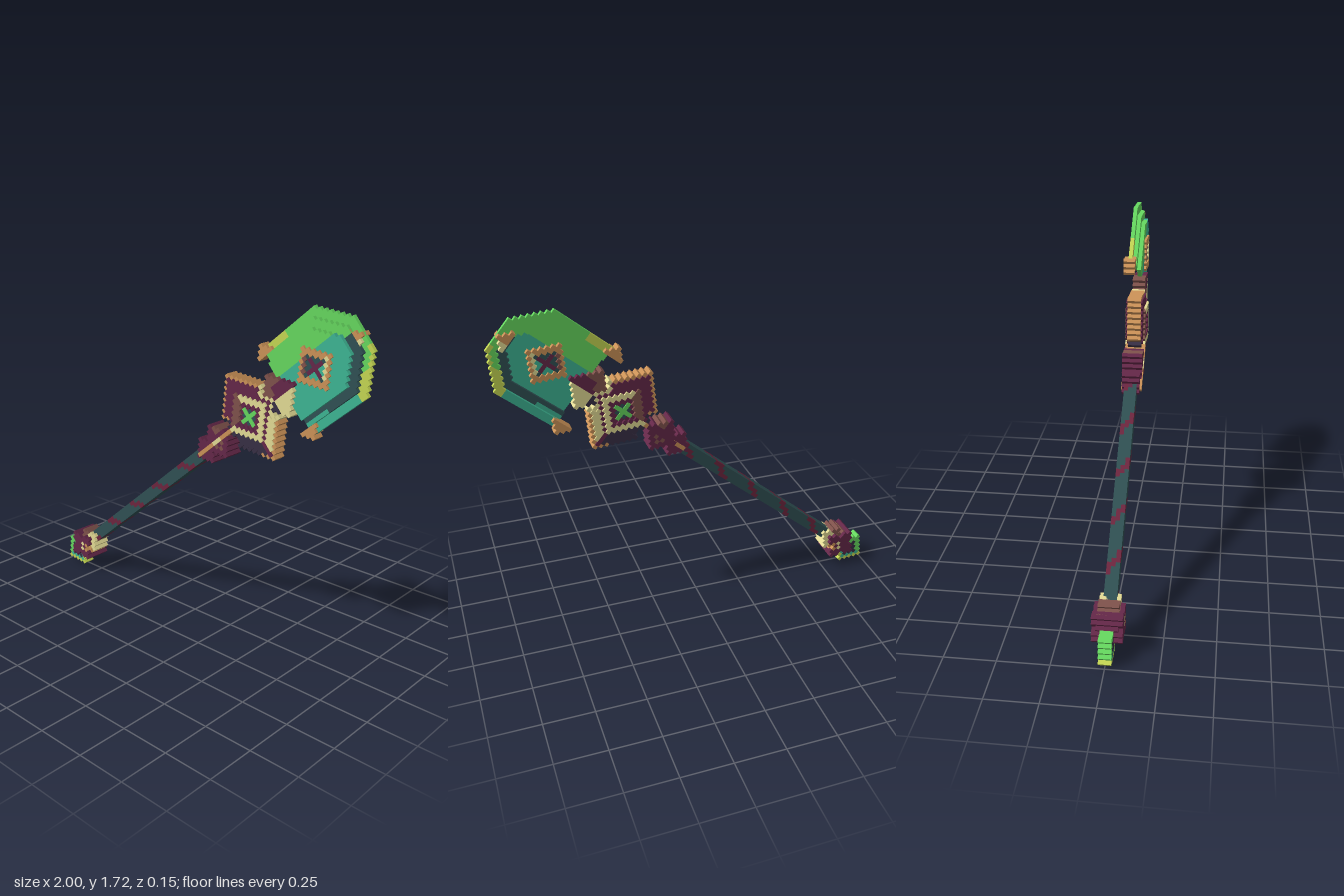
import * as THREE from 'three';
import { mergeGeometries } from 'three/addons/utils/BufferGeometryUtils.js';

const COLORS = {
  green: 0x66d95f, yellowGreen: 0xc5d853, teal: 0x3eb694, slate: 0x305154, maroon: 0x652849,
  navy: 0x382f45, tan: 0xcd9358, cream: 0xe4dc95, umber: 0x80524c, crimson: 0x6e263f,
};
const CELL = 0.0205; // block edge length

export function createModel() {
  const mats = {};
  for (const [name, color] of Object.entries(COLORS)) {
    mats[name] = new THREE.MeshStandardMaterial({ color });
    mats[name].name = name;
  }

  // u runs along the shaft, v across it, both in blocks; the crest is at the origin
  const staff = new THREE.Group();
  staff.name = 'staff';
  staff.rotation.z = THREE.MathUtils.degToRad(39.9);
  staff.position.set(0.382, 1.169, 0);

  // Fills an area with blocks. rule(u, v) gives [colour, zBack, zFront] or null; equal neighbours join
  function blocks(name, [u0, u1], [v0, v1], rule) {
    const part = new THREE.Group();
    part.name = name;
    const found = {};
    for (let v = v0; v <= v1; v++) {
      let start = u0;
      let run = rule(u0, v);
      for (let u = u0 + 1; u <= u1 + 1; u++) {
        const next = u <= u1 ? rule(u, v) : null;
        if (String(next) === String(run)) continue;
        if (run) {
          const [color, zb, zf] = run;
          const g = new THREE.BoxGeometry((u - start) * CELL, CELL, zf - zb);
          g.translate(((start + u - 1) / 2) * CELL, v * CELL, (zb + zf) / 2);
          (found[color] ??= []).push(g);
        }
        start = u;
        run = next;
      }
    }
    for (const color in found) {
      const mesh = new THREE.Mesh(mergeGeometries(found[color]), mats[color]);
      mesh.name = `${name} ${color}`;
      part.add(mesh);
    }
    staff.add(part);
  }

  // Stepped diamond of radius r around (cu, cv); paint(s, du, dv) picks the colour, null leaves a gap
  function diamond(name, cu, cv, r, zb, zf, paint) {
    blocks(name, [cu - r, cu + r], [cv - r, cv + r], (u, v) => {
      const s = Math.abs(u - cu) + Math.abs(v - cv);
      const color = s <= r ? paint(s, u - cu, v - cv) : null;
      return color && [color, zb, zf];
    });
  }

  // Shaft in three layers, with one stripe winding around it
  const PITCH = 11.7;
  for (const layer of [-1, 0, 1]) {
    blocks('shaft', [-76, -16], [-1, 1], (u, v) => {
      const turn = Math.atan2(-v, layer) / (2 * Math.PI);
      const along = (u + 63 + 10 * PITCH - turn * PITCH) % PITCH;
      return [along < 2.5 ? 'crimson' : 'slate', (layer - 0.5) * 0.0212, (layer + 0.5) * 0.0212];
    });
  }

  // Pommel: coloured point, heavy notched knot and pale cuff
  diamond('pommelPoint', -83, 0, 4, -0.031, 0.031, (s, u, v) => {
    if (s === 4) return v > 0 ? 'green' : 'yellowGreen';
    if (s === 3) return v > 0 ? 'green' : 'teal';
    return 'navy';
  });
  diamond('pommelKnotBase', -78, 0, 4, -0.052, 0.052, (s, u, v) =>
    u < 1 ? 'maroon' : v < 0 ? 'tan' : 'umber');
  diamond('pommelKnot', -78, 0, 4, -0.073, 0.073, (s, u, v) => {
    if (Math.abs(u) === 2 && Math.abs(v) === 2) return null;
    if (s === 1 && u - v === 1) return 'cream';
    return v < 0 && u > 0 && s === 3 ? 'tan' : 'maroon';
  });
  diamond('pommelCuff', -75, 0, 3, -0.05, 0.05, (s, u, v) => (v > 1 ? 'umber' : 'cream'));

  // Collar knots and the thin tan rib leading to the crest
  diamond('lowerCollar', -17, 0, 3, -0.045, 0.045, () => 'maroon');
  diamond('upperCollar', -12, 0, 4, -0.052, 0.052, (s, u, v) => {
    if (v > 1 && u > 0) return 'umber';
    return s === 2 && v < 0 ? 'umber' : 'maroon';
  });
  blocks('collarRib', [-19, -7], [0, 0], (u) =>
    [Math.abs(u + 12) < 2 ? 'cream' : 'tan', -0.05, 0.056]);

  // Crest: a diamond widened by two side diamonds, with stepped relief
  blocks('crest', [-9, 9], [-11, 11], (u, v) => {
    const s = Math.abs(u) + Math.abs(v);
    const edge = Math.min(s - 8, Math.abs(u) + Math.abs(Math.abs(v) - 4) - 7);
    if (edge > 0) return null;
    const darkSide = v > 0 && u <= 0;
    if (s <= 1 || (s === 2 && u * v === 0)) return ['green', -0.045, 0.045];
    if (s <= 3) return [s === 2 ? 'slate' : 'maroon', -0.04, 0.04];
    if (s <= 6) return [darkSide ? 'umber' : s === 4 ? 'maroon' : 'cream', -0.052, 0.052];
    if (edge > -1) {
      if (u < 0 && v < 3 && v > -9) return ['navy', -0.035, 0.035];
      return [u > 0 && Math.abs(v) < 5 ? 'cream' : 'tan', -0.035, 0.035];
    }
    if (u > 0 && v < 0) return [s === 7 ? 'maroon' : 'cream', -0.042, 0.042];
    return [u < 0 && v < 0 ? 'navy' : 'maroon', -0.042, 0.042];
  });

  // Neck socket with a pale and a dark claw gripping the blade
  diamond('neckSocket', 10, 0, 5, -0.033, 0.033, (s, u, v) => {
    if (v < 0) return u >= -1 ? 'cream' : 'navy';
    return v > 2 || (v > 0 && u < 0) ? 'umber' : 'maroon';
  });

  // Scooped blade: the rim steps backwards in two rings
  blocks('blade', [12, 35], [-11, 11], (u, v) => {
    const w = Math.abs(v);
    const d = Math.min(11.5 - w, 35.2 - u, (39.5 - u - w) / Math.SQRT2);
    if (d < 0) return null;
    const ring = Math.min(2, Math.floor(d / 2));
    const zb = -0.051 + CELL * ring;
    let color = 'teal';
    if (v >= 4 || (v >= 2 && ring < 2)) color = v >= 10 && u < 19 ? 'yellowGreen' : 'green';
    else if (u > 26 && ring === 0) {
      color = v <= -7 || (d < 1 && v < -2) ? 'yellowGreen' : 'green';
    } else if (ring === 1 && (u > 18 || v > -9)) color = 'slate';
    return [color, zb, zb + CELL];
  });

  // Pointed horns at the blade shoulders and the stud on its tip
  for (const side of [1, -1]) {
    diamond(side > 0 ? 'upperHorn' : 'lowerHorn', 11, side * 10, 2, -0.073, -0.014, (s, u, v) =>
      v * side >= 0 ? 'tan' : null);
  }
  diamond('tipStud', 33, 0, 2, -0.073, -0.014, (s, u, v) =>
    u < 0 ? null : v < 0 ? 'cream' : 'tan');

  // Framed jewel set through the blade
  blocks('bladeJewel', [17, 27], [-5, 5], (u, v) => {
    const du = u - 22;
    const s = Math.abs(du) + Math.abs(v);
    if (s > 5) return null;
    if (s > 3) {
      const inner = du > 0 && v < 1 ? 'cream' : du < 0 && v > 0 ? 'umber' : 'tan';
      return [s === 5 ? 'tan' : inner, -0.031, 0.022];
    }
    if (du * v === 0) return [s < 3 ? 'maroon' : 'slate', -0.022, 0.016];
    return [v < 0 ? 'teal' : 'slate', -0.02, 0.014];
  });

  const model = new THREE.Group();
  model.name = 'ceremonialStaff';
  model.add(staff);
  return model;
}
